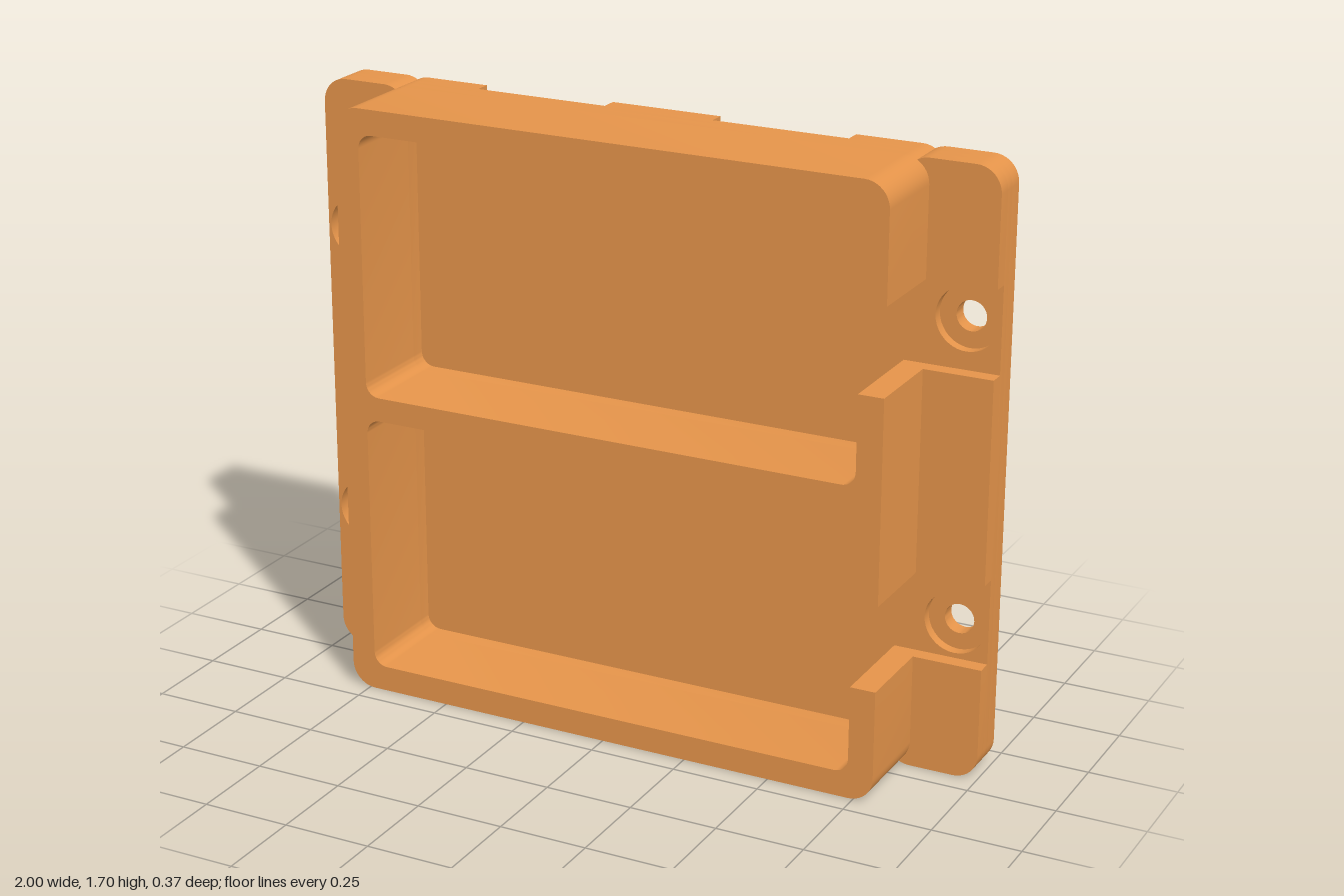
import * as THREE from 'three';
import { toCreasedNormals } from 'three/addons/utils/BufferGeometryUtils.js';

const H = 1.7, R = 0.07, BODY = 0.805, FLANGE = 1;
const HOLE_X = 0.905, HOLE_Y = [0.425, 1.275], HOLE_R = 0.042, BORE_R = 0.088;
const POCKET_X = 0.733, POCKET_R = 0.04;
// each pocket: bottom, top, and the bottom and top of its side slot
const POCKETS = [[0.073, 0.817, 0.323, 0.566], [0.885, 1.629, 1.137, 1.38]];
// depth levels from back to front
const Z = { back: -0.186, channel: -0.14, floor: -0.11, flange: -0.066, front: 0.186 };

const v = (x, y) => new THREE.Vector2(x, y);

// points of an arc, angles in degrees
function arc(cx, cy, r, a0, a1, n = 10) {
  return Array.from({ length: n + 1 }, (_, i) => {
    const a = THREE.MathUtils.degToRad(a0 + (a1 - a0) * i / n);
    return v(cx + r * Math.cos(a), cy + r * Math.sin(a));
  });
}

// path that enters through the side slot, runs round the pocket and leaves again
function pocketPath(edge, [y0, y1, s0, s1]) {
  const x = POCKET_X - POCKET_R, r = POCKET_R;
  return [
    v(edge, s0), v(POCKET_X, s0),
    ...arc(x, y0 + r, r, 0, -90), ...arc(-x, y0 + r, r, 270, 180),
    ...arc(-x, y1 - r, r, 180, 90), ...arc(x, y1 - r, r, 90, 0),
    v(POCKET_X, s1), v(edge, s1),
  ];
}

// right-hand edge from bottom to top; the flange meets the body in a small notch
function sideEdge(flanged, pockets) {
  const bottom = flanged
    ? [...arc(BODY - R, R, R, -90, -60, 4), ...arc(BODY, R, R, -120, -90, 4).slice(1),
      ...arc(FLANGE - R, R, R, -90, 0)]
    : arc(BODY - R, R, R, -90, 0);
  const top = bottom.map(p => v(p.x, H - p.y)).reverse();
  const edge = flanged ? FLANGE : BODY;
  const middle = pockets ? POCKETS.flatMap(p => pocketPath(edge, p)) : [];
  return [...bottom, ...middle, ...top];
}

const mirror = points => points.map(p => v(-p.x, p.y)).reverse();

function outline(flanged, pockets) {
  return new THREE.Shape([...sideEdge(flanged, pockets), ...mirror(sideEdge(flanged, false))]);
}

function addHoles(shape, sides, r) {
  for (const s of sides) for (const y of HOLE_Y) {
    const hole = new THREE.Path();
    hole.absarc(s * HOLE_X, y, r, 0, Math.PI * 2, true);
    shape.holes.push(hole);
  }
  return shape;
}

export function createModel() {
  const group = new THREE.Group();
  const material = new THREE.MeshStandardMaterial({ color: 0xe5944a });

  function layer(name, shape, z0, z1) {
    const geo = new THREE.ExtrudeGeometry(shape, {
      depth: z1 - z0, bevelEnabled: false, curveSegments: 20,
    });
    geo.translate(0, 0, z0);
    const mesh = new THREE.Mesh(toCreasedNormals(geo, 0.5), material);
    mesh.name = name;
    group.add(mesh);
  }

  // three raised bands on the back, with two channels between them
  const outer = [v(0.55, 0), ...sideEdge(true, false), v(0.55, H)];
  layer('backBandLeft', addHoles(new THREE.Shape(outer), [1], HOLE_R), Z.back, Z.channel);
  layer('backBandRight', addHoles(new THREE.Shape(mirror(outer)), [-1], HOLE_R), Z.back, Z.channel);
  layer('backBandMiddle',
    new THREE.Shape([v(-0.16, 0), v(0.16, 0), v(0.16, H), v(-0.16, H)]), Z.back, Z.channel);

  // floor of the pockets, with counterbores for the screws
  layer('floorPlate', addHoles(outline(true, false), [-1, 1], BORE_R), Z.channel, Z.floor);

  // front part of the flanges, cut by the side slots
  layer('flanges', addHoles(outline(true, true), [-1], BORE_R), Z.floor, Z.flange);

  // walls round the two pockets
  layer('pocketWalls', outline(false, true), Z.flange, Z.front);

  return group;
}
